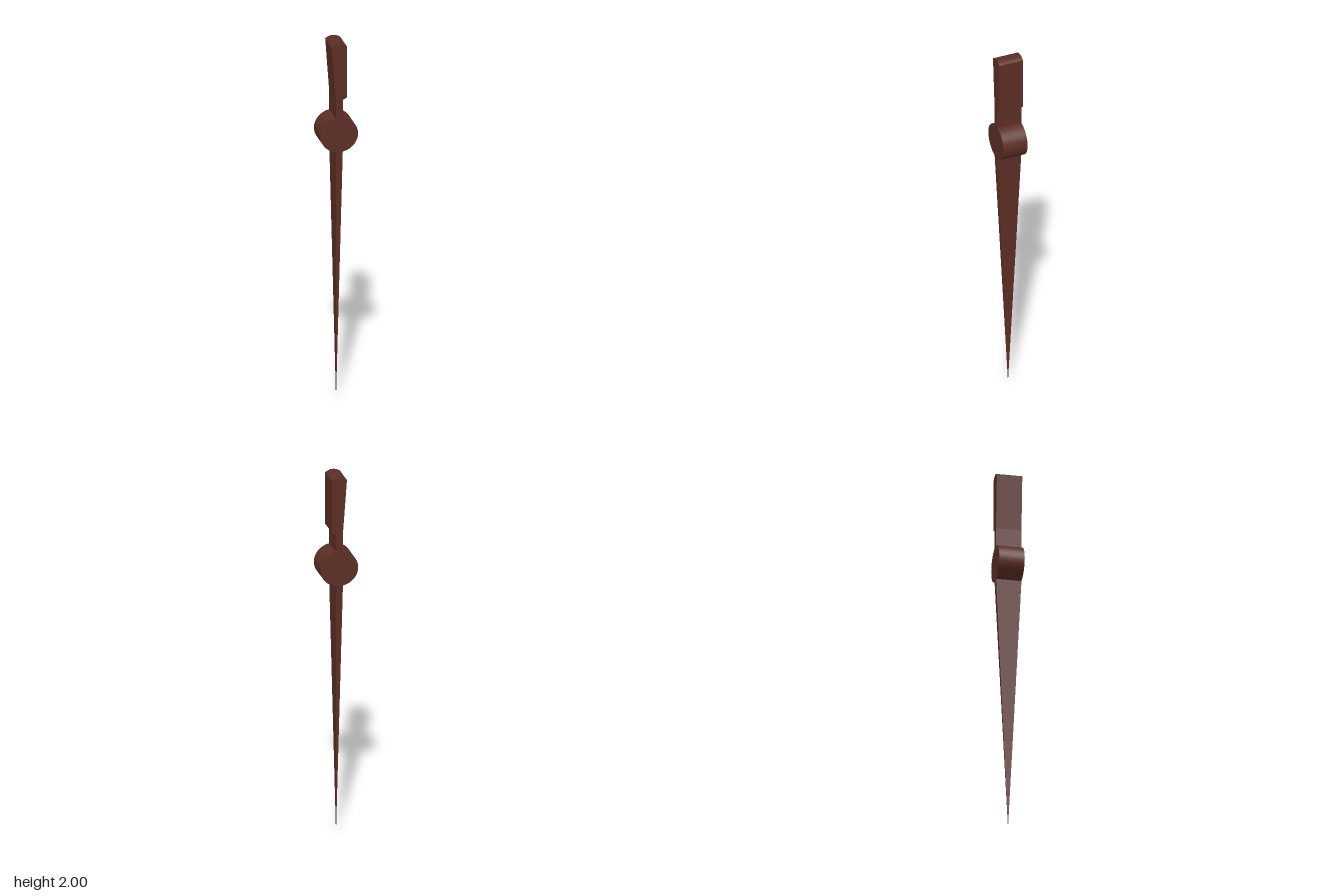
import * as THREE from 'three';

const DEPTH = 0.134;
const STEM = 0.0185; // half width of neck and blade root

export function createModel() {
  const group = new THREE.Group();
  const brown = new THREE.MeshStandardMaterial({ color: 0x5c2e25 });
  brown.name = 'dark brown';

  const add = (name, geometry) => {
    const mesh = new THREE.Mesh(geometry, brown);
    mesh.name = name;
    group.add(mesh);
  };
  const slab = (shape, curveSegments) =>
    new THREE.ExtrudeGeometry(shape, { depth: DEPTH, bevelEnabled: false, curveSegments })
      .translate(0, 0, -DEPTH / 2);

  // Counterweight: rounded crown, sloped underside
  const block = new THREE.Shape();
  block.moveTo(-STEM, 1.688);
  block.lineTo(STEM, 1.688);
  block.lineTo(0.04, 1.7);
  block.lineTo(0.04, 1.985);
  block.quadraticCurveTo(0.022, 2, 0, 2);
  block.quadraticCurveTo(-0.022, 2, -0.04, 1.985);
  add('counterweight', slab(block, 4));

  // Neck joining counterweight and hub
  add('neck', new THREE.BoxGeometry(STEM * 2, 0.13, DEPTH).translate(0, 1.635, 0));

  // Slightly oval pivot hub
  const hub = new THREE.Shape();
  hub.absellipse(0, 1.495, 0.1, 0.095, 0, Math.PI * 2, false);
  add('hub', slab(hub, 32));

  // Blade: a box whose lower end is drawn to a point
  const blade = new THREE.BoxGeometry(STEM * 2, 1.403, DEPTH).translate(0, 1.403 / 2, 0);
  const p = blade.attributes.position;
  for (let i = 0; i < p.count; i++) {
    if (p.getY(i) < 0.5) p.setXYZ(i, 0, 0, 0);
  }
  blade.computeVertexNormals();
  add('blade', blade);

  return group;
}
